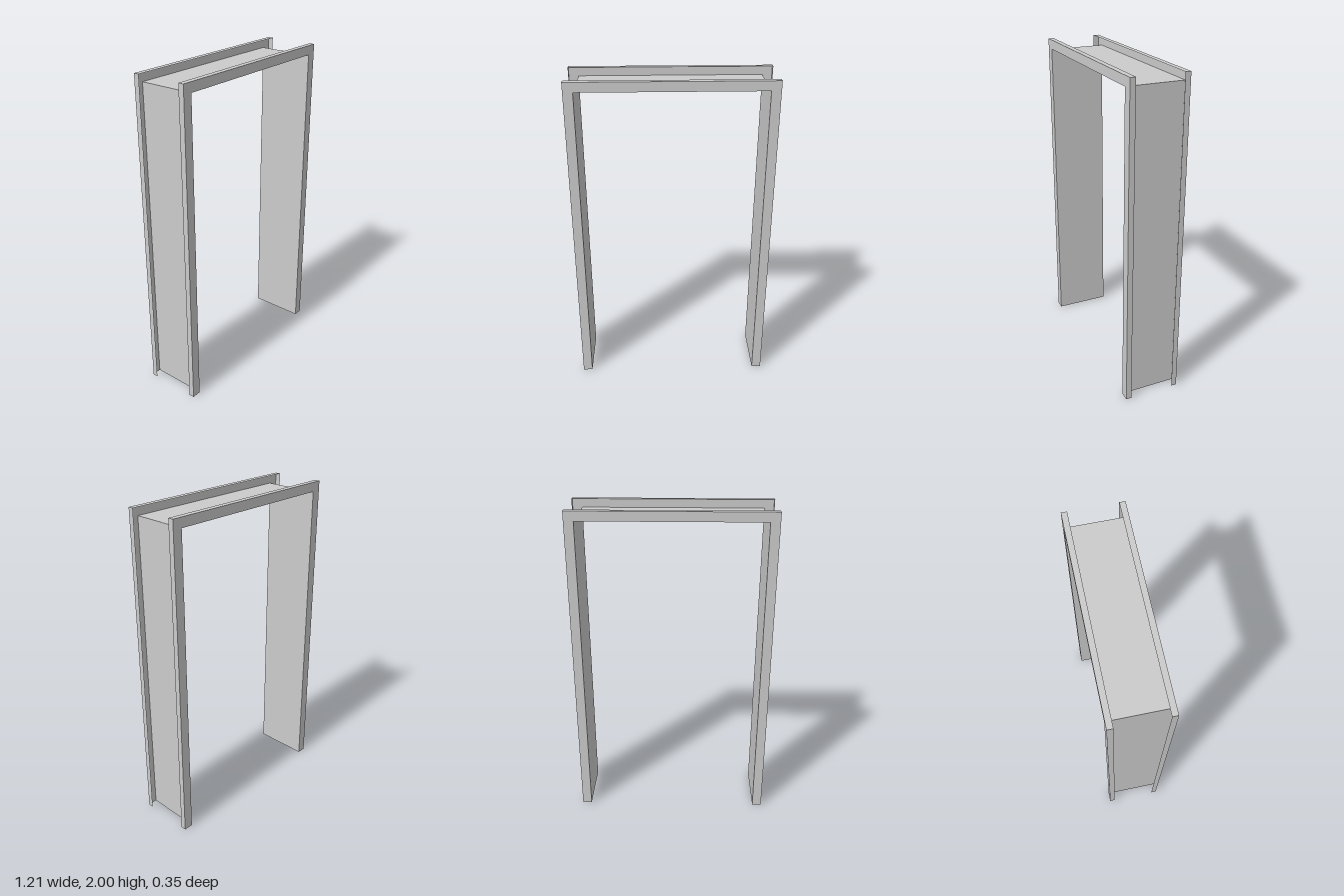
import * as THREE from 'three';

const OUTER = 0.607;  // half width at the outside of the casing
const INNER = 0.549;  // half width of the opening
const DEPTH = 0.175;  // half depth of the frame
const LIP = 0.141;    // where the casing's return edge stops
const HEIGHT = 2;

// Sweeps a folded sheet-metal profile of [half width, z] points up one jamb,
// across the head and down the other jamb, with mitred corners.
function sweepAroundOpening(profile) {
  const stations = [[1, false], [1, true], [-1, true], [-1, false]];
  const point = ([w, z], [side, top]) => [side * w, top ? HEIGHT - OUTER + w : 0, z];
  const positions = [];
  for (let i = 0; i < profile.length - 1; i++) {
    for (let s = 0; s < stations.length - 1; s++) {
      const a = point(profile[i], stations[s]);
      const b = point(profile[i], stations[s + 1]);
      const c = point(profile[i + 1], stations[s + 1]);
      const d = point(profile[i + 1], stations[s]);
      positions.push(...a, ...b, ...c, ...a, ...c, ...d);
    }
  }
  const geometry = new THREE.BufferGeometry();
  geometry.setAttribute('position', new THREE.Float32BufferAttribute(positions, 3));
  geometry.computeVertexNormals();
  return geometry;
}

export function createModel() {
  const group = new THREE.Group();
  group.name = 'doorFrame';
  const metal = new THREE.MeshStandardMaterial({ color: 0xcccccc, side: THREE.DoubleSide });
  metal.name = 'light grey';

  const parts = {
    // face plate and return lip, open towards the wall
    frontCasing: [[OUTER, LIP], [OUTER, DEPTH], [INNER, DEPTH]],
    // inner faces of the jambs and head
    lining: [[INNER, DEPTH], [INNER, -DEPTH]],
    backCasing: [[INNER, -DEPTH], [OUTER, -DEPTH], [OUTER, -LIP]],
  };
  for (const [name, profile] of Object.entries(parts)) {
    const mesh = new THREE.Mesh(sweepAroundOpening(profile), metal);
    mesh.name = name;
    group.add(mesh);
  }
  return group;
}
